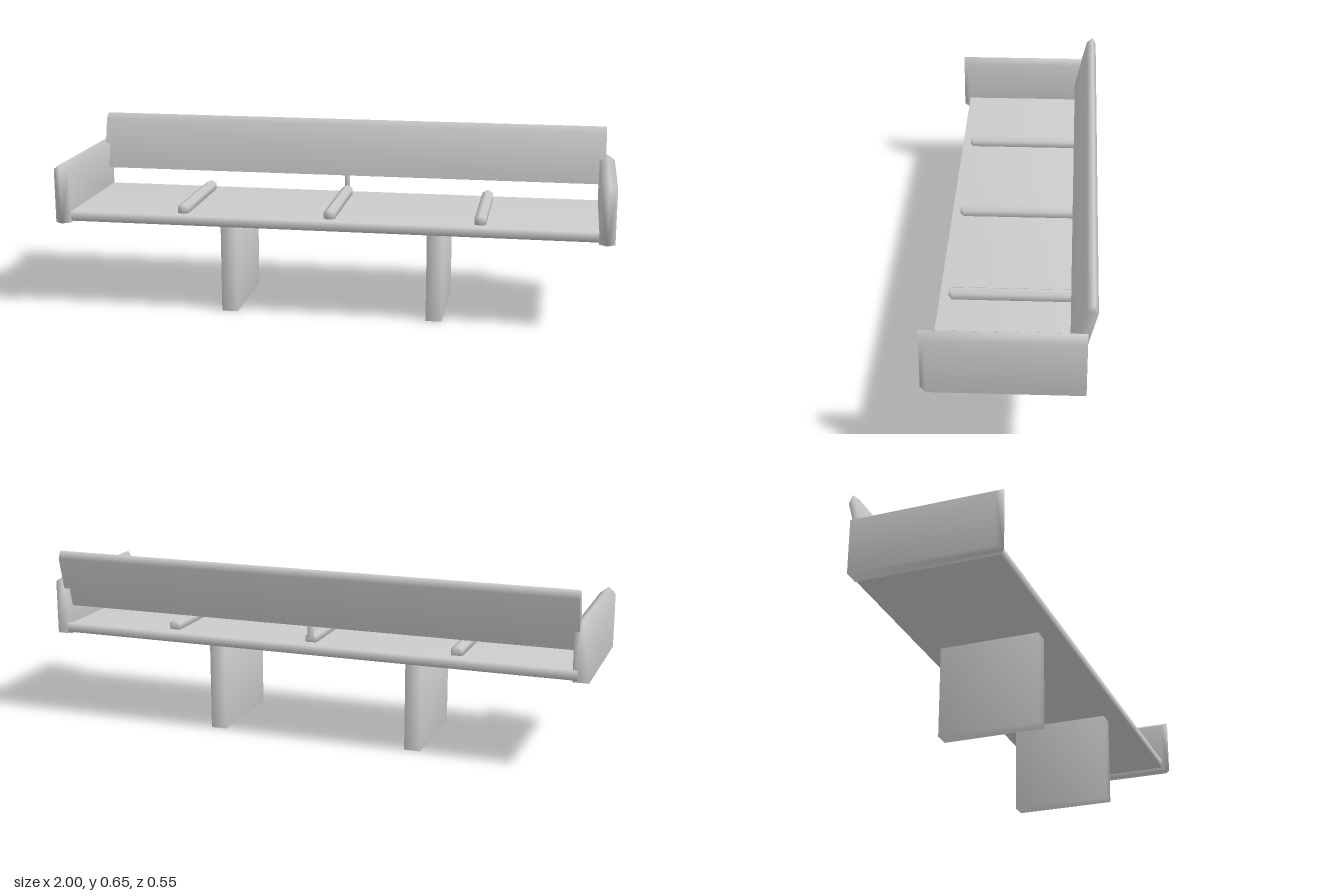
import * as THREE from 'three';
import { ConvexGeometry } from 'three/addons/geometries/ConvexGeometry.js';
import { mergeVertices } from 'three/addons/utils/BufferGeometryUtils.js';

const material = new THREE.MeshStandardMaterial({ color: 0xcccccc });

// Share corners so the shading rolls softly over the edges
function soften(geometry) {
  geometry.deleteAttribute('normal');
  geometry.deleteAttribute('uv');
  const welded = mergeVertices(geometry, 1e-4);
  welded.computeVertexNormals();
  return welded;
}

// Box given by its min and max corners
function box(x0, x1, y0, y1, z0, z1) {
  const g = new THREE.BoxGeometry(x1 - x0, y1 - y0, z1 - z0);
  g.translate((x0 + x1) / 2, (y0 + y1) / 2, (z0 + z1) / 2);
  return soften(g);
}

// Upright slab whose top and front edges come to a ridge
function ridgedSlab(cx, halfWidth, y0, y1, z0, z1, ridgeY, ridgeZ) {
  const points = [
    new THREE.Vector3(cx, y1, z0),
    new THREE.Vector3(cx, y1, z1),
    new THREE.Vector3(cx, y0, z1),
  ];
  for (const x of [cx - halfWidth, cx + halfWidth])
    for (const y of [y0, y1 - ridgeY])
      for (const z of [z0, z1 - ridgeZ]) points.push(new THREE.Vector3(x, y, z));
  return soften(new ConvexGeometry(points));
}

export function createModel() {
  const group = new THREE.Group();
  const add = (name, geometry) => {
    const mesh = new THREE.Mesh(geometry, material);
    mesh.name = name;
    group.add(mesh);
  };

  // Main horizontal wing
  add('mainPlane', box(-0.96, 0.96, 0.335, 0.37, -0.245, 0.25));

  // Pillars and end plates, mirrored
  for (const [side, s] of [['left', 1], ['right', -1]]) {
    add(side + 'Pillar', box(s * 0.375 - 0.029, s * 0.375 + 0.029, 0, 0.34, -0.181, 0.182));
    add(side + 'EndPlate', ridgedSlab(s * 0.972, 0.028, 0.329, 0.546, -0.245, 0.275, 0.02, 0.02));
  }

  // Ribs along the upper surface
  for (const x of [-0.535, 0, 0.535])
    add('rib', ridgedSlab(x, 0.02, 0.365, 0.405, -0.2, 0.22, 0.012, 0.012));

  // Small post carrying the flap
  add('flapPost', box(-0.008, 0.008, 0.39, 0.45, -0.215, -0.195));

  // Leaning rear flap with a ridged upper edge, profile as [z, y]
  const profile = [[-0.192, 0.443], [-0.239, 0.628], [-0.262, 0.648], [-0.275, 0.62], [-0.228, 0.435]];
  const flap = [-0.962, 0.967].flatMap((x) => profile.map(([z, y]) => new THREE.Vector3(x, y, z)));
  add('rearFlap', soften(new ConvexGeometry(flap)));

  return group;
}
